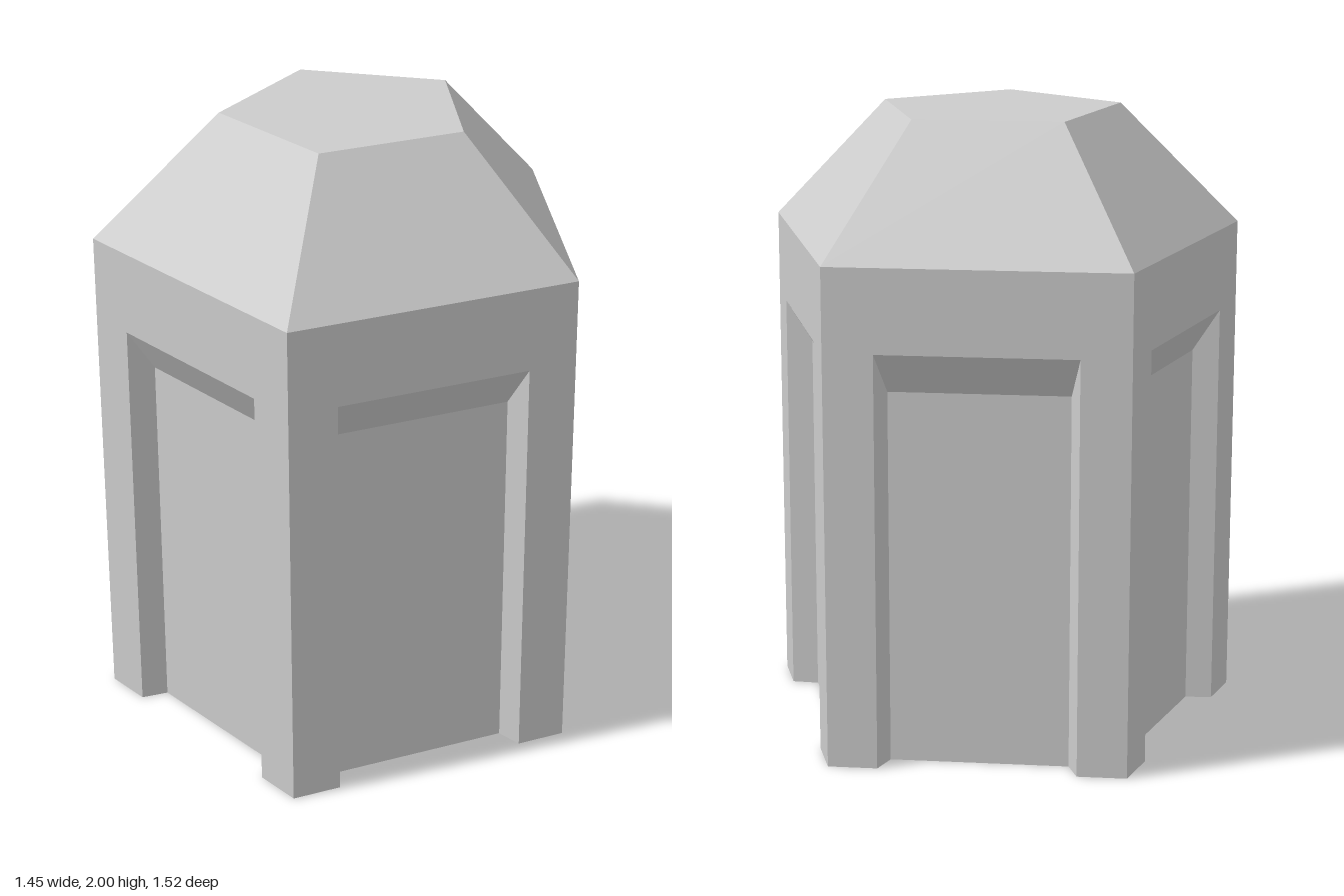
import * as THREE from 'three';

const SIDES = 5, RADIUS = 0.8, WALL_H = 1.6, TOP_R = 0.4, TOP_Y = 2;
const APOTHEM = RADIUS * Math.cos(Math.PI / SIDES);
const HALF = RADIUS * Math.sin(Math.PI / SIDES);
const CENTRE_X = -(RADIUS - APOTHEM) / 2;

// Recessed opening: outer rim on the wall, panel set back and tapered
const OPEN_W = HALF * 2 / 3, OPEN_H = 4 / 3, TAPER = 0.9, DEPTH = 0.08;

const material = new THREE.MeshStandardMaterial({
  color: 0xcccccc, flatShading: true, side: THREE.DoubleSide,
});

function addMesh(parent, name, geometry) {
  const mesh = new THREE.Mesh(geometry, material);
  mesh.name = name;
  parent.add(mesh);
  return mesh;
}

// Quad from four corners, counter-clockwise seen from its front
function quad(a, b, c, d) {
  const g = new THREE.BufferGeometry();
  g.setAttribute('position', new THREE.Float32BufferAttribute([a, b, c, d].flat(), 3));
  g.setIndex([0, 1, 2, 0, 2, 3]);
  g.computeVertexNormals();
  return g;
}

// One wall facing +z: frame, sloped reveals and set-back panel
function createWall() {
  const wall = new THREE.Group();
  wall.name = 'wall';

  const outline = [
    [-HALF, 0], [-OPEN_W, 0], [-OPEN_W, OPEN_H], [OPEN_W, OPEN_H],
    [OPEN_W, 0], [HALF, 0], [HALF, WALL_H], [-HALF, WALL_H],
  ].map(([x, y]) => new THREE.Vector2(x, y));
  addMesh(wall, 'wallFrame', new THREE.ShapeGeometry(new THREE.Shape(outline)));

  const w = OPEN_W * TAPER, h = OPEN_H * TAPER;
  addMesh(wall, 'panel', quad([-w, 0, -DEPTH], [w, 0, -DEPTH], [w, h, -DEPTH], [-w, h, -DEPTH]));
  addMesh(wall, 'leftReveal', quad([w, 0, -DEPTH], [OPEN_W, 0, 0], [OPEN_W, OPEN_H, 0], [w, h, -DEPTH]));
  addMesh(wall, 'rightReveal', quad([-OPEN_W, 0, 0], [-w, 0, -DEPTH], [-w, h, -DEPTH], [-OPEN_W, OPEN_H, 0]));
  addMesh(wall, 'topReveal', quad([-w, h, -DEPTH], [w, h, -DEPTH], [OPEN_W, OPEN_H, 0], [-OPEN_W, OPEN_H, 0]));
  return wall;
}

export function createModel() {
  const model = new THREE.Group();
  model.name = 'pentagonalHut';

  const body = new THREE.Group();
  body.name = 'body';
  body.position.x = CENTRE_X;
  model.add(body);

  // Five identical walls, open underneath
  for (let i = 0; i < SIDES; i++) {
    const angle = (i + 0.5) * 2 * Math.PI / SIDES;
    const wall = createWall();
    wall.position.set(Math.cos(angle) * APOTHEM, 0, Math.sin(angle) * APOTHEM);
    wall.rotation.y = Math.PI / 2 - angle;
    body.add(wall);
  }

  // Sloped roof with a flat top
  const slope = addMesh(body, 'roofSlope', new THREE.CylinderGeometry(
    TOP_R, RADIUS, TOP_Y - WALL_H, SIDES, 1, true, Math.PI / 2));
  slope.position.y = (TOP_Y + WALL_H) / 2;
  const top = addMesh(body, 'roofTop', new THREE.CircleGeometry(TOP_R, SIDES));
  top.rotation.x = -Math.PI / 2;
  top.position.y = TOP_Y;

  return model;
}
